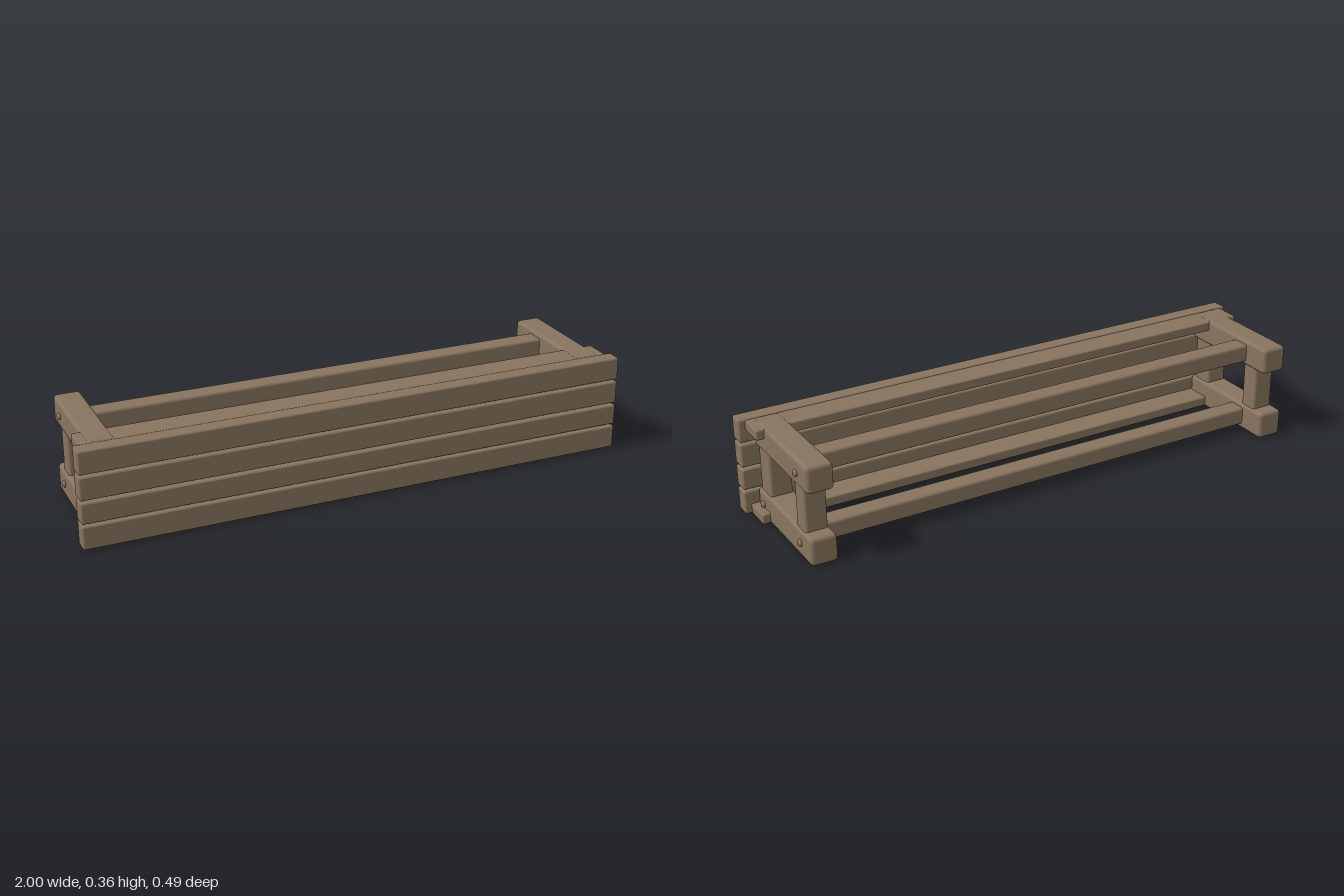
import * as THREE from 'three';
import { RoundedBoxGeometry } from 'three/addons/geometries/RoundedBoxGeometry.js';

const wood = new THREE.MeshStandardMaterial({ color: 0x88745f });

// Softly worn timber between two limits on each axis
function timber(name, [x0, x1], [y0, y1], [z0, z1], radius = 0.008) {
  const geometry = new RoundedBoxGeometry(x1 - x0, y1 - y0, z1 - z0, 2, radius);
  const mesh = new THREE.Mesh(geometry, wood);
  mesh.position.set((x0 + x1) / 2, (y0 + y1) / 2, (z0 + z1) / 2);
  mesh.name = name;
  return mesh;
}

// Domed dowel head pointing along x
function peg(side, y, z) {
  const profile = [[0, 0.012], [0.009, 0.01], [0.0125, 0.005], [0.0125, -0.02]]
    .reverse().map(([r, h]) => new THREE.Vector2(r, h));
  const mesh = new THREE.Mesh(new THREE.LatheGeometry(profile, 16), wood);
  mesh.rotation.z = -side * Math.PI / 2;
  mesh.position.set(side * 0.949, y, z);
  mesh.name = 'peg';
  return mesh;
}

export function createModel() {
  const model = new THREE.Group();
  model.name = 'slattedBench';

  // Four planks closing the front
  const plankHeights = [[0.004, 0.089], [0.096, 0.172], [0.18, 0.264], [0.271, 0.355]];
  for (const height of plankHeights) {
    model.add(timber('frontPlank', [-1, 1], height, [0.187, 0.245], 0.007));
  }

  // Long rails behind the planks, running past the end frames
  for (const height of [[0.004, 0.041], [0.316, 0.353]]) {
    model.add(timber('frontRail', [-0.978, 0.978], height, [0.09, 0.189], 0.006));
  }

  // Thin rails joining the end frames near the back
  for (const y of [0.052, 0.307]) {
    model.add(timber('backRail', [-0.88, 0.88], [y - 0.033, y + 0.033], [-0.14, -0.067], 0.01));
  }

  // End frames: two beams, two posts and their pegs
  for (const side of [-1, 1]) {
    const frame = new THREE.Group();
    frame.name = side > 0 ? 'leftFrame' : 'rightFrame';
    const span = (a, b) => (side > 0 ? [a, b] : [-b, -a]);
    for (const height of [[0, 0.1], [0.259, 0.356]]) {
      frame.add(timber('beam', span(0.855, 0.95), height, [-0.245, 0.188], 0.014));
    }
    for (const depth of [[0.088, 0.174], [-0.193, -0.12]]) {
      frame.add(timber('post', span(0.863, 0.942), [0.05, 0.31], depth, 0.01));
    }
    for (const y of [0.053, 0.306]) {
      for (const z of [0.141, -0.162]) frame.add(peg(side, y, z));
    }
    model.add(frame);
  }
  return model;
}
